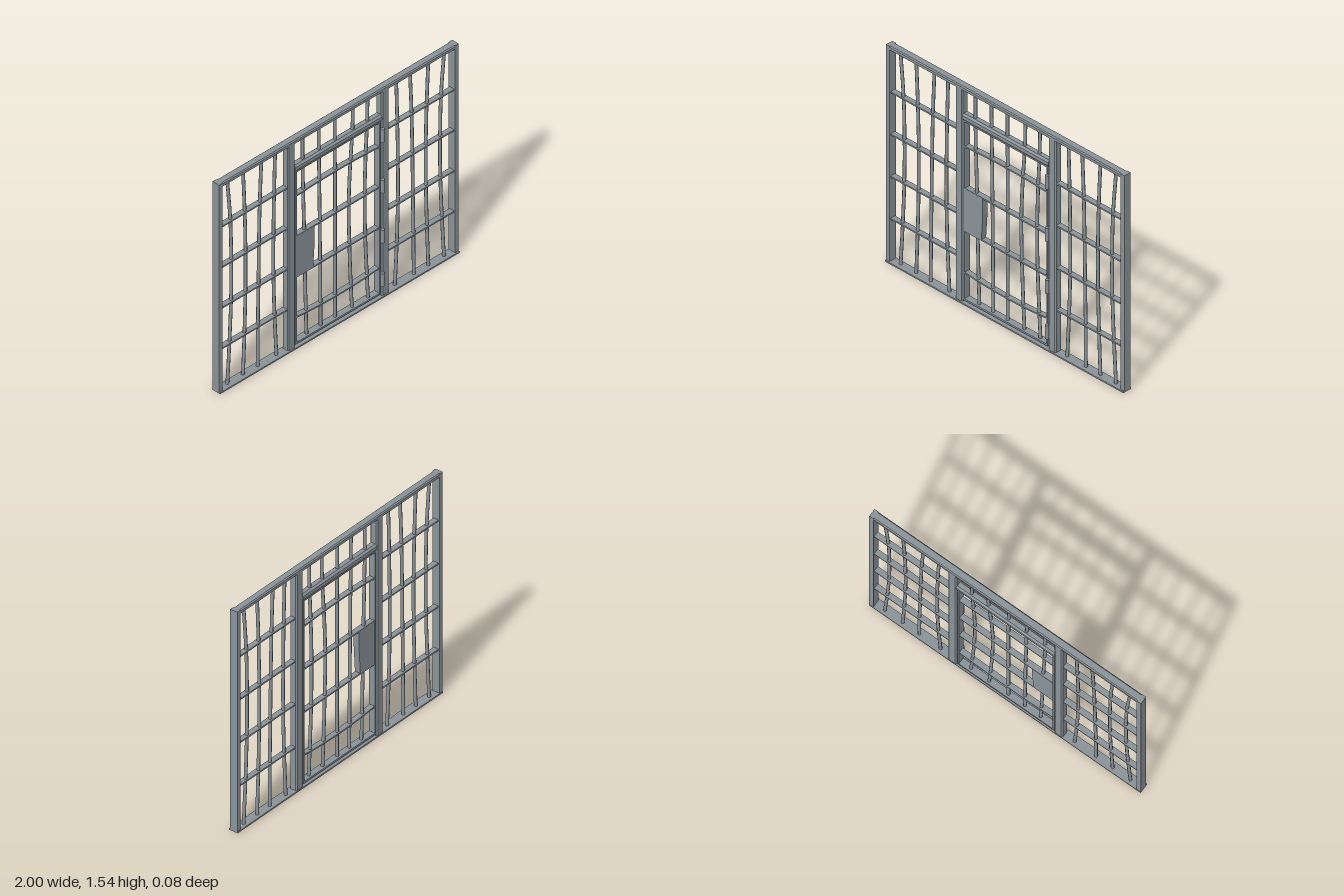
import * as THREE from 'three';

const steel = new THREE.MeshStandardMaterial({ color: 0x8b959a });
steel.name = 'steel grey';
const ZC = -0.0065; // mid-plane of the frame

export function createModel() {
  const model = new THREE.Group();
  model.name = 'barredGate';

  const add = (name, geometry, x = 0, y = 0, z = ZC) => {
    const mesh = new THREE.Mesh(geometry, steel);
    mesh.name = name;
    mesh.position.set(x, y, z);
    model.add(mesh);
    return mesh;
  };
  const box = (name, x0, x1, y0, y1, depth, z = ZC) =>
    add(name, new THREE.BoxGeometry(x1 - x0, y1 - y0, depth), (x0 + x1) / 2, (y0 + y1) / 2, z);

  // Bevelled section, extruded along z and centred
  const bevelled = (w, h, c, length) => {
    const a = w / 2, b = h / 2;
    const pts = [[-a + c, -b], [a - c, -b], [a, -b + c], [a, b - c], [a - c, b], [-a + c, b], [-a, b - c], [-a, -b + c]];
    const shape = new THREE.Shape(pts.map(p => new THREE.Vector2(...p)));
    return new THREE.ExtrudeGeometry(shape, { depth: length, bevelEnabled: false }).translate(0, 0, -length / 2);
  };

  // Round upright following a bent path
  const upright = (name, points) => {
    const curve = new THREE.CatmullRomCurve3(points.map(([x, y]) => new THREE.Vector3(x, y, 0)));
    add(name, new THREE.TubeGeometry(curve, 15, 0.011, 8), 0, 0, ZC);
  };

  // Outer frame
  box('sill', -1, 1, 0, 0.01, 0.066, -0.0035);
  add('topBeam', bevelled(0.054, 0.032, 0.007, 1.95).rotateY(Math.PI / 2), 0, 1.524);
  for (const s of [-1, 1]) {
    const side = s > 0 ? 'left' : 'right';
    box(side + 'EndPost', s * 0.985 - 0.015, s * 0.985 + 0.015, 0, 1.54, 0.054);
    add(side + 'DoorPost', bevelled(0.062, 0.054, 0.008, 1.51).rotateX(Math.PI / 2), s * 0.391, 0.76);
    // Side panel crossbars
    for (const y of [0.31, 0.61, 0.91, 1.21]) {
      const xs = [s * 0.975, s * 0.42].sort((a, b) => a - b);
      box(side + 'Crossbar', xs[0], xs[1], y - 0.005, y + 0.005, 0.038);
    }
  }

  // Side panel uprights: x at evenly spaced heights
  const heights = [0.005, 0.31, 0.61, 0.91, 1.21, 1.515];
  const sideBars = [
    [0.904, 0.886, 0.873, 0.871, 0.879, 0.905],
    [0.773, 0.761, 0.753, 0.752, 0.759, 0.773],
    [0.651, 0.649, 0.644, 0.640, 0.633, 0.620],
    [0.494, 0.510, 0.519, 0.519, 0.514, 0.505]
  ];
  for (const s of [-1, 1])
    for (const xs of sideBars)
      upright(s > 0 ? 'leftUpright' : 'rightUpright', xs.map((x, i) => [s * x, heights[i]]));

  // Door uprights, running through the lintel up to the top beam
  const doorHeights = [0.025, 0.21, 0.515, 0.815, 1.12, 1.32, 1.515];
  const doorBars = [
    [-0.243, -0.249, -0.257, -0.263, -0.272, -0.276, -0.276],
    [-0.126, -0.127, -0.130, -0.133, -0.137, -0.140, -0.142],
    [-0.006, -0.006, -0.006, -0.006, -0.006, -0.007, -0.008],
    [0.136, 0.126, 0.114, 0.109, 0.123, 0.139, 0.144],
    [0.270, 0.260, 0.246, 0.242, 0.251, 0.262, 0.266]
  ];
  for (const xs of doorBars) upright('doorUpright', xs.map((x, i) => [x, doorHeights[i]]));

  // Door crossbars, the outer two slightly bowed
  for (const [y, bow] of [[0.218, -0.018], [0.515, 0], [0.815, 0], [1.113, 0.012]]) {
    const g = new THREE.BoxGeometry(0.7, 0.01, 0.038, 12, 1, 1);
    const p = g.attributes.position;
    for (let i = 0; i < p.count; i++) p.setY(i, p.getY(i) + bow * (1 - (p.getX(i) / 0.35) ** 2));
    g.computeVertexNormals();
    add('doorCrossbar', g, 0, y);
  }

  // Lintel and flat door surround
  add('lintel', bevelled(0.054, 0.048, 0.012, 0.72).rotateY(Math.PI / 2), 0, 1.322);
  box('doorTopStrip', -0.352, 0.352, 1.293, 1.303, 0.046);
  box('doorBottomStrip', -0.352, 0.352, 0.024, 0.036, 0.046);
  box('doorRightStrip', -0.357, -0.347, 0.024, 1.3, 0.046);
  box('doorLeftStrip', 0.343, 0.353, 0.024, 1.3, 0.046);

  // Lock plate with a slanted free edge
  const plate = new THREE.Shape([[-0.35, 0.515], [-0.207, 0.515], [-0.195, 0.7], [-0.195, 0.817], [-0.35, 0.817]]
    .map(p => new THREE.Vector2(...p)));
  add('lockPlate', new THREE.ExtrudeGeometry(plate, { depth: 0.04, bevelEnabled: false }), 0, 0, ZC - 0.02);

  // Hinge barrels
  for (const y of [0.137, 0.46, 0.83, 1.203])
    add('hinge', new THREE.CylinderGeometry(0.0125, 0.0125, 0.095, 12), 0.358, y, 0.028);

  return model;
}
